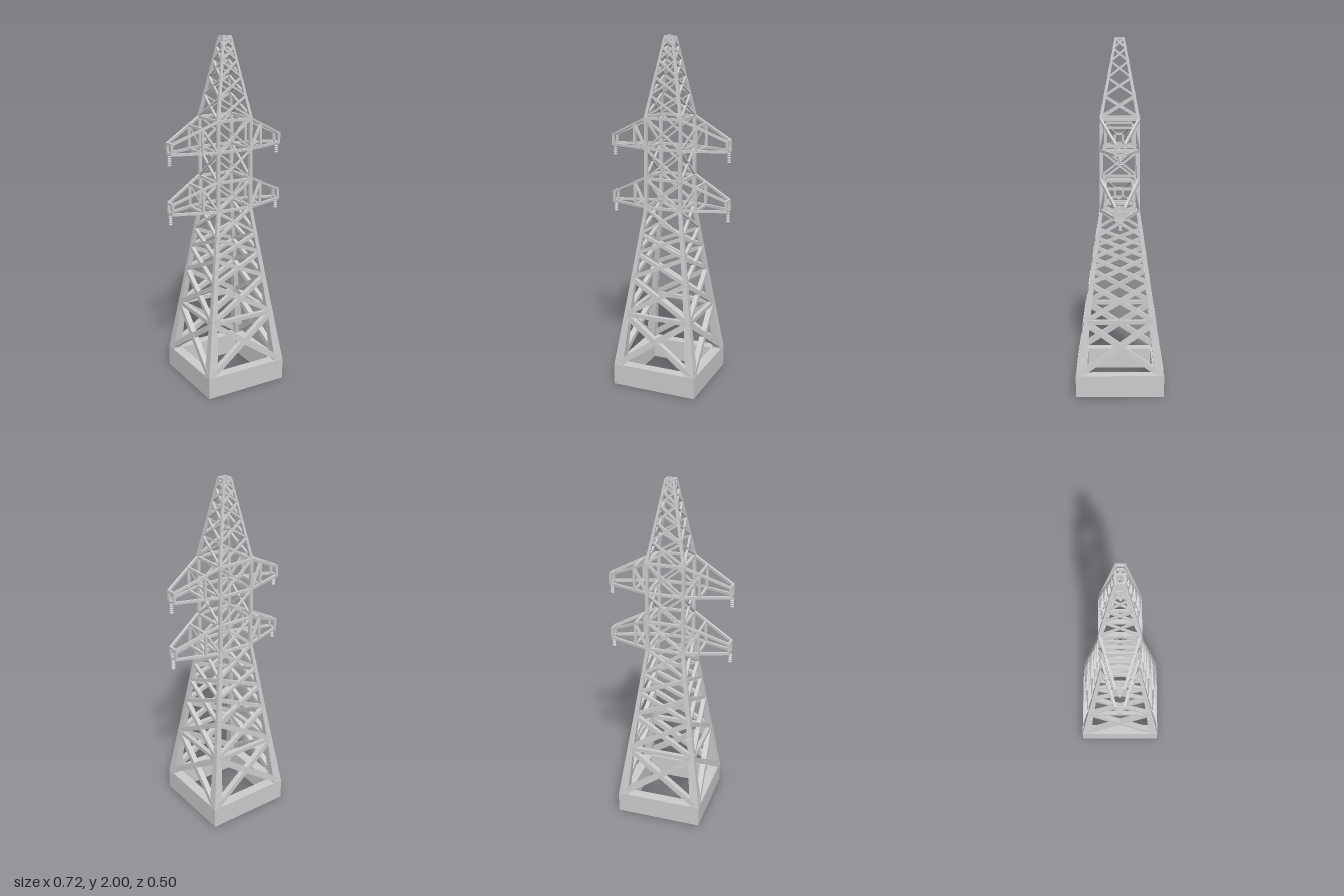
import * as THREE from 'three';

const mat = new THREE.MeshStandardMaterial({ color: 0xcccccc, flatShading: true });
const V = (x, y, z) => new THREE.Vector3(x, y, z);

// Outer outline of the tower: height, half width, leg thickness
const OUTLINE = [[0.12, 0.25, 0.055], [0.42, 0.205, 0.036], [0.64, 0.172, 0.027],
  [1.05, 0.113, 0.019], [1.56, 0.112, 0.017], [2, 0.027, 0.012]];

function outlineAt(y) {
  let i = 0;
  while (i < OUTLINE.length - 2 && y > OUTLINE[i + 1][0]) i++;
  const [a, b] = [OUTLINE[i], OUTLINE[i + 1]];
  const t = (y - a[0]) / (b[0] - a[0]);
  return { half: a[1] + (b[1] - a[1]) * t, leg: a[2] + (b[2] - a[2]) * t };
}

// Rectangular bar from a to b, its depth along the hint direction
function bar(parent, name, a, b, width, depth = width, hint = V(0, 1, 0)) {
  const dir = b.clone().sub(a);
  const length = dir.length();
  dir.normalize();
  const side = dir.clone().cross(hint).normalize();
  const normal = side.clone().cross(dir);
  const mesh = new THREE.Mesh(new THREE.BoxGeometry(width, length, depth), mat);
  mesh.quaternion.setFromRotationMatrix(new THREE.Matrix4().makeBasis(side, dir, normal));
  mesh.position.copy(a).add(b).multiplyScalar(0.5);
  mesh.name = name;
  parent.add(mesh);
}

// Tapered corner leg lofted through square sections
function leg(sx, sz) {
  const pos = [], index = [];
  for (const [y, half, t] of OUTLINE) {
    const o = half, i = half - t;
    for (const [x, z] of [[i, i], [i, o], [o, o], [o, i]]) pos.push(x * sx, y, z * sz);
  }
  const flip = sx * sz < 0;
  const quad = (a, b, c, d) => index.push(...(flip ? [a, c, b, a, d, c] : [a, b, c, a, c, d]));
  const n = OUTLINE.length - 1;
  for (let k = 0; k < n; k++) {
    for (let s = 0; s < 4; s++) {
      const a = k * 4 + s, b = k * 4 + (s + 1) % 4;
      quad(a, b, b + 4, a + 4);
    }
  }
  quad(3, 2, 1, 0);
  quad(n * 4, n * 4 + 1, n * 4 + 2, n * 4 + 3);
  const geo = new THREE.BufferGeometry();
  geo.setAttribute('position', new THREE.Float32BufferAttribute(pos, 3));
  geo.setIndex(index);
  const flat = geo.toNonIndexed();
  flat.computeVertexNormals();
  const mesh = new THREE.Mesh(flat, mat);
  mesh.name = 'leg';
  return mesh;
}

// One lattice face of the tower, built facing +z
function latticeFace(isArmSide) {
  const face = new THREE.Group();
  face.name = 'latticeFace';
  const levels = [0.125, 0.425, 0.64, 0.785, 0.9, 1.05, 1.215, 1.385, 1.56,
    1.68, 1.78, 1.87, 1.94, 1.995];
  const point = (s, y, w) => {
    const { half, leg: t } = outlineAt(y);
    return V(s * (half - t * 0.5), y, half - w * 0.5);
  };
  for (let i = 0; i < levels.length - 1; i++) {
    const y0 = levels[i], y1 = levels[i + 1];
    if (isArmSide && (i === 5 || i === 7)) continue; // open where the arms join
    const w = Math.max(0.011, 0.034 - 0.02 * y0);
    for (const s of [-1, 1]) {
      bar(face, 'crossBrace', point(s, y0 + w * 0.3, w), point(-s, y1 - w * 0.3, w), w, w, V(0, 0, 1));
    }
  }
  // Horizontal rails
  for (const [y, w] of [[0.425, 0.024], [1.05, 0.015], [1.215, 0.015], [1.385, 0.015],
    [1.555, 0.015], [1.994, 0.012]]) {
    bar(face, 'rail', point(-1, y, w), point(1, y, w), w, w, V(0, 0, 1));
  }
  return face;
}

// Insulator: a lathed stack of discs hanging from y = 0
function insulator() {
  const pts = [new THREE.Vector2(0, 0), new THREE.Vector2(0.005, 0)];
  for (let i = 0; i < 5; i++) {
    const y = -0.012 - i * 0.012;
    pts.push(new THREE.Vector2(0.005, y + 0.004), new THREE.Vector2(0.011, y),
      new THREE.Vector2(0.011, y - 0.004), new THREE.Vector2(0.005, y - 0.007));
  }
  pts.push(new THREE.Vector2(0, -0.069));
  const mesh = new THREE.Mesh(new THREE.LatheGeometry(pts.reverse(), 10), mat);
  mesh.name = 'insulator';
  return mesh;
}

// Tapering arm pointing to +x, lower chord at y = 0
function arm() {
  const g = new THREE.Group();
  g.name = 'arm';
  const w = 0.014, top = 0.17, tipY = 0.055;
  const root = 0.105, mid = 0.185, tip = 0.346;
  const zAt = x => 0.105 - (x - root) / (tip - root) * 0.08;
  const topAt = x => top - (x - root) / (tip - root) * (top - tipY);
  const P = (x, y, s) => V(x, y, s * zAt(x));
  for (const s of [-1, 1]) {
    bar(g, 'lowerChord', P(root, 0, s), P(tip, 0, s), w);
    bar(g, 'upperChord', P(root, top, s), P(tip, tipY, s), w);
    bar(g, 'armPost', P(mid, 0, s), P(mid, topAt(mid), s), w, w, V(0, 0, 1));
    bar(g, 'armDiagonal', P(root, 0, s), P(mid, topAt(mid), s), w * 0.9, w * 0.9, V(0, 0, 1));
    bar(g, 'tipPost', P(tip, -w / 2, s), P(tip, tipY + w / 2, s), w, w, V(0, 0, 1));
  }
  for (const [x, y] of [[mid, 0], [mid, topAt(mid)], [tip, 0], [tip, tipY]]) {
    bar(g, 'armTie', P(x, y, -1), P(x, y, 1), w);
  }
  const hanger = insulator();
  hanger.position.set(tip + 0.002, 0, 0);
  g.add(hanger);
  return g;
}

// Hollow square plinth
function base() {
  const square = (PathType, h) => new PathType([[-h, -h], [h, -h], [h, h], [-h, h]]
    .map(([x, y]) => new THREE.Vector2(x, y)));
  const shape = square(THREE.Shape, 0.25);
  shape.holes.push(square(THREE.Path, 0.19));
  const geo = new THREE.ExtrudeGeometry(shape, { depth: 0.125, bevelEnabled: false });
  geo.rotateX(-Math.PI / 2);
  const mesh = new THREE.Mesh(geo, mat);
  mesh.name = 'base';
  return mesh;
}

export function createModel() {
  const model = new THREE.Group();
  model.name = 'pylon';
  model.add(base());
  for (const sx of [-1, 1]) for (const sz of [-1, 1]) model.add(leg(sx, sz));
  for (let i = 0; i < 4; i++) {
    const face = latticeFace(i % 2 === 1);
    face.rotation.y = i * Math.PI / 2;
    model.add(face);
  }
  // Two tiers of arms on both sides
  for (const y of [1.05, 1.385]) {
    for (const turn of [0, Math.PI]) {
      const a = arm();
      a.position.y = y;
      a.rotation.y = turn;
      model.add(a);
    }
  }
  return model;
}
